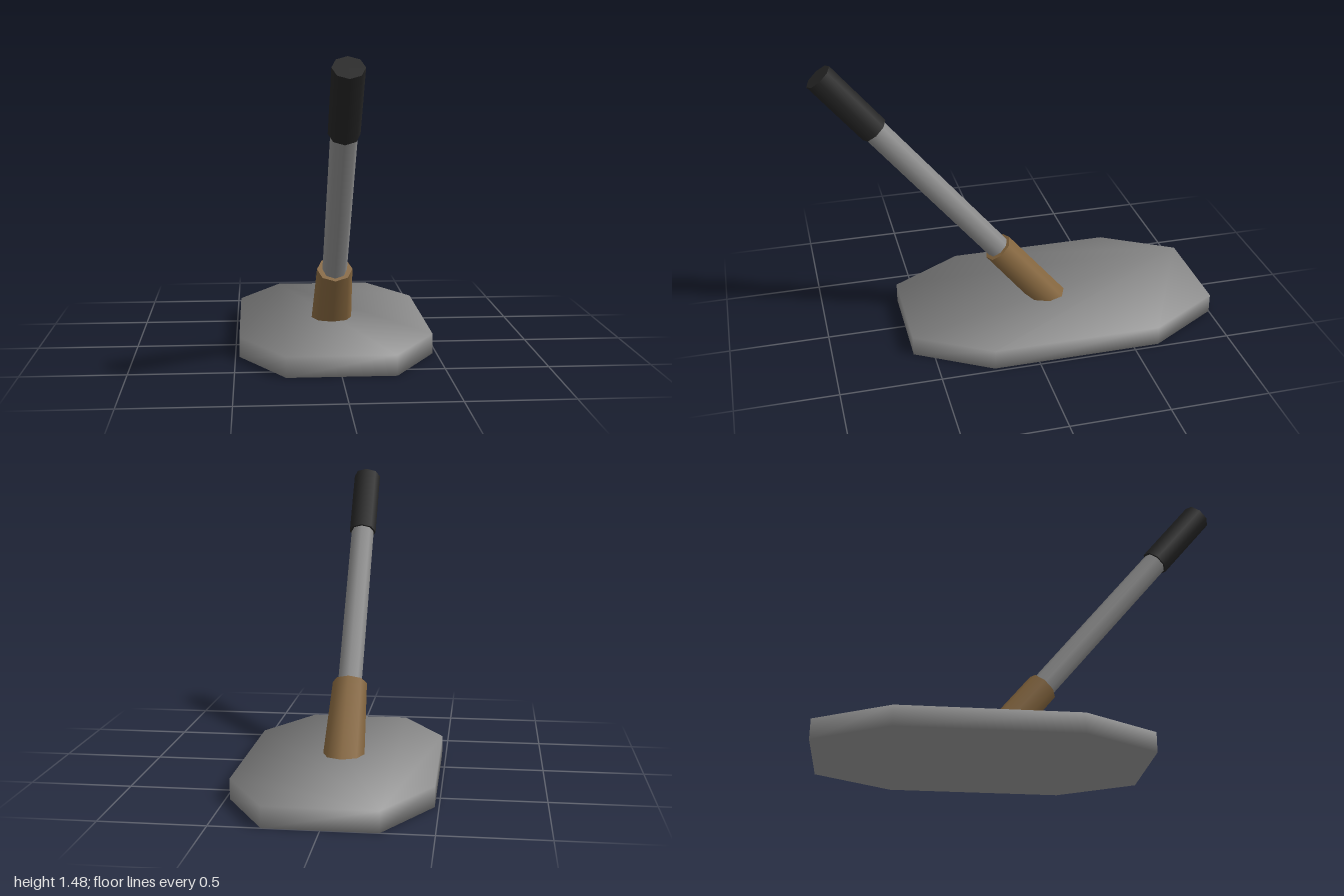
import * as THREE from 'three';

const metal = new THREE.MeshStandardMaterial({ name: 'grey metal', color: 0x8c8c8c });
const wood = new THREE.MeshStandardMaterial({ name: 'brown wood', color: 0x86673f });
const rubber = new THREE.MeshStandardMaterial({ name: 'black rubber', color: 0x242424 });

const TILT = THREE.MathUtils.degToRad(39.5);

// Eight-sided plate whose normals are blended round the rim
function plateGeometry(height) {
  const half = [[0.26, -1], [0.48, -0.63], [0.48, 0.23], [0.26, 0.6]];
  const outline = [[-0.26, -1], ...half, ...half.slice(1).reverse().map(([x, z]) => [-x, z])];
  const n = outline.length;
  const edgeNormal = (i) => {
    const [ax, az] = outline[i % n], [bx, bz] = outline[(i + 1) % n];
    return new THREE.Vector3(bz - az, 0, ax - bx).normalize();
  };
  const positions = [], normals = [], index = [];
  for (const up of [0, 1]) {
    outline.forEach(([x, z], i) => {
      const d = edgeNormal(i).add(edgeNormal(i + n - 1)).normalize().multiplyScalar(0.76);
      positions.push(x, up * height, z);
      normals.push(d.x, up ? 0.65 : -0.65, d.z);
    });
  }
  for (let i = 0; i < n; i++) {
    const j = (i + 1) % n;
    index.push(j, i, n + i, j, n + i, n + j);
  }
  // Flat faces fanned from one corner each
  for (let i = 1; i < n - 1; i++) {
    index.push(n, n + i + 1, n + i);
    index.push(5, (5 + i) % n, (6 + i) % n);
  }
  const g = new THREE.BufferGeometry();
  g.setAttribute('position', new THREE.Float32BufferAttribute(positions, 3));
  g.setAttribute('normal', new THREE.Float32BufferAttribute(normals, 3));
  g.setIndex(index);
  return g;
}

// Eight-sided rod between two distances along the handle axis
function rod(name, material, rTop, rBottom, from, to) {
  const g = new THREE.CylinderGeometry(rTop, rBottom, to - from, 8);
  g.translate(0, (from + to) / 2, 0);
  const mesh = new THREE.Mesh(g, material);
  mesh.name = name;
  return mesh;
}

export function createModel() {
  const model = new THREE.Group();
  model.name = 'tamper';

  const plate = new THREE.Mesh(plateGeometry(0.1), metal);
  plate.name = 'basePlate';
  model.add(plate);

  // Handle leaning forward from the plate
  const handle = new THREE.Group();
  handle.name = 'handle';
  handle.position.set(0, 0.1, -0.157);
  handle.rotation.x = TILT;

  // Oval tapered socket, its foot cut level just inside the plate
  const socket = rod('socket', wood, 0.08, 0.083, -0.02, 0.4);
  const p = socket.geometry.attributes.position;
  for (let i = 0; i < p.count; i++) {
    const foot = p.getY(i) < 0.1;
    p.setX(i, p.getX(i) * (foot ? 1.27 : 1.12));
    if (foot) p.setY(i, p.getY(i) + p.getZ(i) * Math.tan(TILT));
  }
  handle.add(socket);

  handle.add(rod('shaft', metal, 0.062, 0.062, 0.1, 1.4));
  handle.add(rod('grip', rubber, 0.073, 0.073, 1.347, 1.732));
  model.add(handle);
  return model;
}
